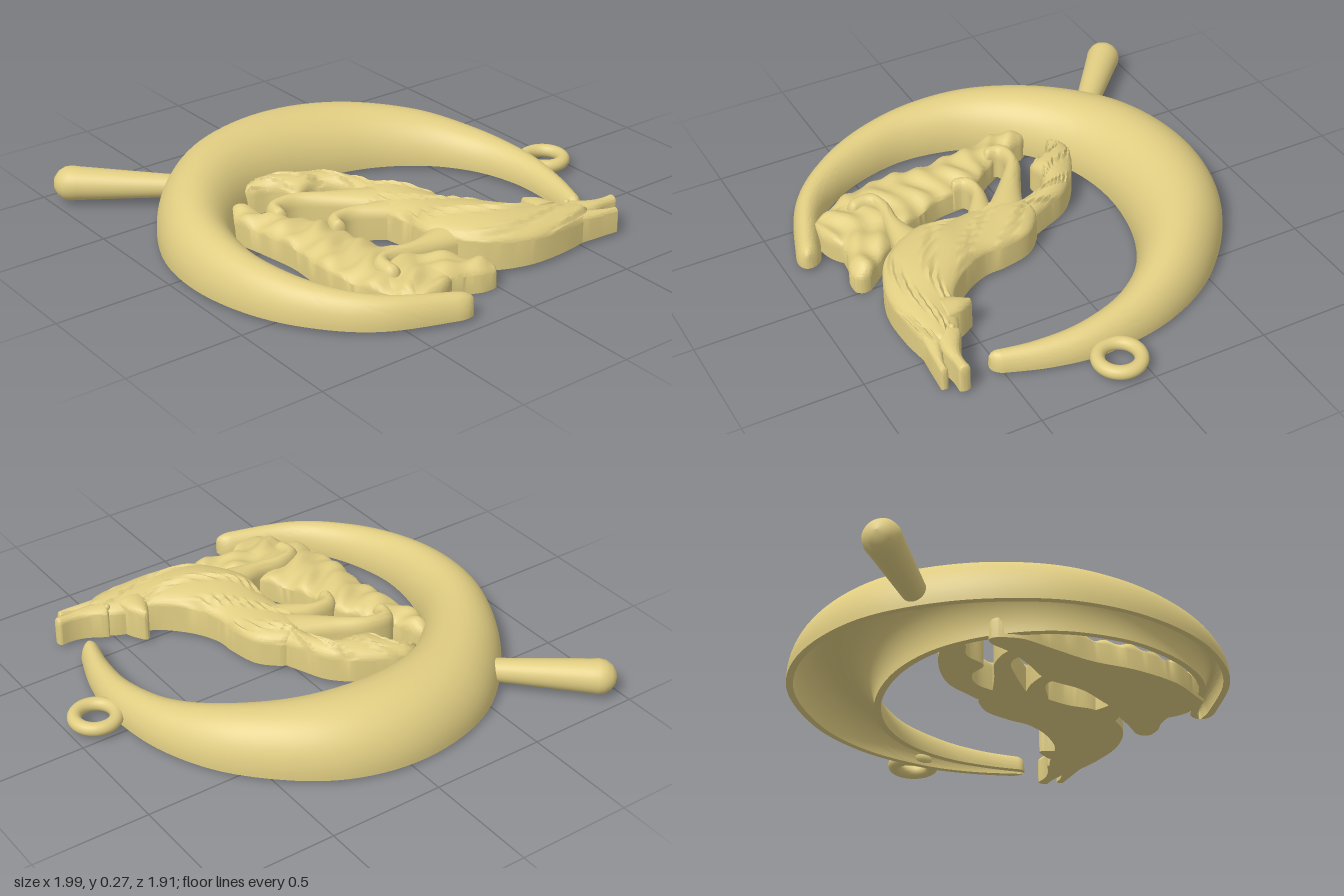
import * as THREE from 'three';
import { toCreasedNormals } from 'three/addons/utils/BufferGeometryUtils.js';

const gold = new THREE.MeshStandardMaterial({ color: 0xe0cd82 });

function add(parent, name, geometry) {
  const mesh = new THREE.Mesh(geometry, gold);
  mesh.name = name;
  parent.add(mesh);
  return mesh;
}

// Domed relief strip between two plan edges given as [x, z] lists; heights holds one top per pair.
function strip(a, b, heights, o = {}) {
  const { base = 0.015, wall = 0.65, steps = 60, cols = 20, round = 0.06, hollow = 0, relief = () => 0 } = o;
  const curve = (p) => new THREE.CatmullRomCurve3(p.map(([x, z], i) => new THREE.Vector3(x, heights[i], z)), false, 'catmullrom', 0.5);
  const ca = curve(a), cb = curve(b), pos = [], idx = [];
  let ring = 0;
  for (let i = 0; i <= steps; i++) {
    const t = (1 - Math.cos((Math.PI * i) / steps)) / 2;
    const d = Math.min(1, Math.min(t, 1 - t) / round);
    const f = Math.sqrt(Math.max(0, 1 - (1 - d) ** 2));          // rounded tips
    const pa = ca.getPoint(t), pb = cb.getPoint(t);
    const mid = pa.clone().add(pb).multiplyScalar(0.5);
    const half = pb.clone().sub(pa).multiplyScalar(0.5 * f);
    const h = (mid.y - base) * (0.65 + 0.35 * f);
    const section = [];
    const arc = (k, top) => {
      const out = [[-k, 0]];
      for (let j = 0; j <= cols; j++) {
        const ang = (Math.PI * j) / cols;
        out.push([-k * Math.cos(ang), top * (wall + (1 - wall) * Math.sin(ang))]);
      }
      out.push([k, 0]);
      return out;
    };
    section.push(...arc(1, h));
    if (hollow) {
      const w = Math.max(0.001, Math.hypot(half.x, half.z));
      section.push(...arc(Math.max(0.3, 1 - hollow / w), Math.max(0.3 * h, h - hollow)).reverse());
    }
    ring = section.length;
    section.forEach(([s, y], j) => {
      const x = mid.x + half.x * s, z = mid.z + half.z * s;
      const bump = j > 1 && j < cols + 1 ? relief(x, z, t, s) * f : 0;
      pos.push(x, base + y + bump, z);
    });
  }
  for (let i = 0; i < steps; i++) {
    for (let j = 0; j < ring; j++) {
      const p = i * ring + j, q = i * ring + ((j + 1) % ring);
      idx.push(p, q, p + ring, q, q + ring, p + ring);
    }
  }
  // Turn the faces outward if the enclosed volume comes out negative
  let volume = 0;
  const v = (k) => new THREE.Vector3().fromArray(pos, k * 3);
  for (let k = 0; k < idx.length; k += 3) volume += v(idx[k]).dot(v(idx[k + 1]).cross(v(idx[k + 2])));
  if (volume < 0) idx.reverse();
  const g = new THREE.BufferGeometry();
  g.setAttribute('position', new THREE.Float32BufferAttribute(pos, 3));
  g.setIndex(idx);
  return toCreasedNormals(g, 0.8);
}

// Limb along a path of [x, z, halfWidth, height]
function limb(path, o) {
  const side = (s) => path.map(([x, z, w], i) => {
    const p = path[Math.max(0, i - 1)], n = path[Math.min(path.length - 1, i + 1)];
    const dx = n[0] - p[0], dz = n[1] - p[1], l = Math.hypot(dx, dz);
    return [x - (s * w * dz) / l, z + (s * w * dx) / l];
  });
  return strip(side(1), side(-1), path.map((p) => p[3]), { steps: 36, cols: 14, ...o });
}

// Surface rules: patchy strands of fur, and cracked ledges of stone
const fur = (x, z, t, s) => 0.009 * Math.sin(s * 24 + 5 * Math.sin(t * 8)) * Math.max(0, Math.sin(t * 25 + s * 5));
const stone = (x, z) => 0.008 * Math.sin(z * 55 + 2 * Math.sin(x * 17)) + 0.006 * Math.sin(x * 37 + z * 21);

export function createModel() {
  const model = new THREE.Group();
  model.name = 'crescentPendant';

  // Hollow crescent, from the right tip over the back to the front tip
  const outer = [[0.7, 0.55], [0.78, 0.32], [0.81, 0.09], [0.76, -0.22], [0.6, -0.51], [0.3, -0.76], [-0.05, -0.845],
    [-0.42, -0.765], [-0.71, -0.53], [-0.9, -0.22], [-0.96, 0.07], [-0.92, 0.36], [-0.8, 0.61], [-0.59, 0.82], [-0.24, 0.96]];
  const inner = [[0.62, 0.54], [0.655, 0.36], [0.66, 0.16], [0.6, -0.05], [0.46, -0.23], [0.24, -0.36], [-0.04, -0.41],
    [-0.3, -0.365], [-0.51, -0.23], [-0.66, -0.03], [-0.715, 0.21], [-0.69, 0.41], [-0.61, 0.6], [-0.48, 0.74], [-0.21, 0.865]];
  const tops = [0.09, 0.105, 0.13, 0.165, 0.215, 0.25, 0.265, 0.26, 0.245, 0.225, 0.2, 0.175, 0.15, 0.13, 0.105];
  add(model, 'crescent', strip(outer, inner, tops, { wall: 0.06, steps: 160, cols: 32, round: 0.014, hollow: 0.03 }));

  // Rounded peg, widening outward from the crescent
  const peg = add(model, 'peg', new THREE.LatheGeometry([[0, -0.05], [0.046, -0.05], [0.05, 0.03], [0.072, 0.41], [0.075, 0.44],
    [0.07, 0.467], [0.053, 0.493], [0.028, 0.51], [0, 0.515]].map((p) => new THREE.Vector2(...p)), 32));
  const from = new THREE.Vector3(-0.59, 0.085, -0.6), to = new THREE.Vector3(-0.925, 0.085, -0.895);
  peg.position.copy(from);
  peg.quaternion.setFromUnitVectors(new THREE.Vector3(0, 1, 0), to.sub(from).normalize());

  // Hanging ring
  const loop = add(model, 'hangingRing', new THREE.TorusGeometry(0.086, 0.029, 16, 48));
  loop.rotation.x = Math.PI / 2;
  loop.position.set(0.885, 0.05, 0.095);

  // Rock: a leaning column and a foot that spreads to the right
  const rock = new THREE.Group();
  rock.name = 'rock';
  model.add(rock);
  add(rock, 'rockColumn', strip(
    [[-0.55, -0.26], [-0.59, -0.14], [-0.565, 0.02], [-0.54, 0.2], [-0.55, 0.4], [-0.52, 0.6], [-0.45, 0.74], [-0.4, 0.83]],
    [[-0.5, -0.25], [-0.46, -0.12], [-0.39, 0], [-0.31, 0.12], [-0.285, 0.3], [-0.21, 0.46], [-0.14, 0.62], [-0.22, 0.8]],
    [0.12, 0.13, 0.135, 0.135, 0.13, 0.13, 0.125, 0.11], { base: 0, steps: 110, round: 0.04, relief: stone }));
  add(rock, 'rockFoot', strip(
    [[-0.47, 0.56], [-0.28, 0.5], [-0.14, 0.56], [-0.06, 0.66], [0.015, 0.75]],
    [[-0.43, 0.81], [-0.3, 0.77], [-0.16, 0.77], [-0.07, 0.8], [0, 0.8]],
    [0.12, 0.125, 0.125, 0.115, 0.1], { base: 0, relief: stone }));

  // Animal climbing down from the rock
  const animal = new THREE.Group();
  animal.name = 'animal';
  model.add(animal);
  add(animal, 'body', strip(
    [[0.02, -0.03], [0.12, 0.07], [0.155, 0.2], [0.165, 0.3], [0.22, 0.41], [0.32, 0.515], [0.41, 0.555], [0.5, 0.59], [0.58, 0.645]],
    [[-0.06, 0], [-0.12, 0.1], [-0.115, 0.2], [-0.095, 0.34], [-0.1, 0.49], [0.01, 0.67], [0.18, 0.755], [0.37, 0.765], [0.57, 0.735]],
    [0.16, 0.175, 0.175, 0.185, 0.205, 0.2, 0.18, 0.165, 0.145], { steps: 120, cols: 40, round: 0.04, relief: fur }));
  add(animal, 'tail', strip(
    [[0.06, 0.07], [0.0, -0.08], [-0.06, -0.2], [-0.18, -0.3], [-0.33, -0.365], [-0.43, -0.33]],
    [[-0.07, 0.08], [-0.1, -0.08], [-0.18, -0.15], [-0.28, -0.15], [-0.33, -0.25], [-0.42, -0.3]],
    [0.16, 0.165, 0.17, 0.17, 0.155, 0.13], { steps: 80, cols: 30, relief: fur }));

  // Legs, each ending in a curled paw
  add(animal, 'farHindLeg', limb([[0.03, 0.14, 0.11, 0.17], [-0.1, 0.06, 0.07, 0.17], [-0.22, -0.02, 0.045, 0.165],
    [-0.33, -0.09, 0.032, 0.165], [-0.43, -0.09, 0.036, 0.16], [-0.455, -0.01, 0.036, 0.155]]));
  add(animal, 'nearHindLeg', limb([[0.02, 0.23, 0.09, 0.165], [-0.12, 0.175, 0.05, 0.16], [-0.22, 0.135, 0.03, 0.155],
    [-0.3, 0.145, 0.033, 0.155], [-0.325, 0.21, 0.033, 0.15]]));
  add(animal, 'frontLeg', limb([[0.06, 0.5, 0.13, 0.18], [-0.06, 0.53, 0.075, 0.17], [-0.2, 0.54, 0.036, 0.16],
    [-0.32, 0.53, 0.03, 0.16], [-0.39, 0.56, 0.036, 0.16], [-0.39, 0.66, 0.036, 0.15]]));

  // Head: ear, open jaws, brow and eye
  add(animal, 'ear', limb([[0.4, 0.62, 0.07, 0.175], [0.405, 0.55, 0.045, 0.17], [0.402, 0.485, 0.01, 0.15]], { wall: 0.8 }));
  add(animal, 'upperJaw', limb([[0.5, 0.64, 0.055, 0.155], [0.6, 0.675, 0.035, 0.145], [0.67, 0.68, 0.022, 0.14], [0.735, 0.68, 0.024, 0.14]], { wall: 0.8 }));
  add(animal, 'lowerJaw', limb([[0.47, 0.7, 0.045, 0.14], [0.58, 0.728, 0.026, 0.13], [0.64, 0.742, 0.016, 0.125], [0.69, 0.746, 0.016, 0.12]], { wall: 0.8 }));
  const eye = add(animal, 'eye', new THREE.SphereGeometry(0.014, 12, 8));
  eye.position.set(0.515, 0.146, 0.628);
  return model;
}
